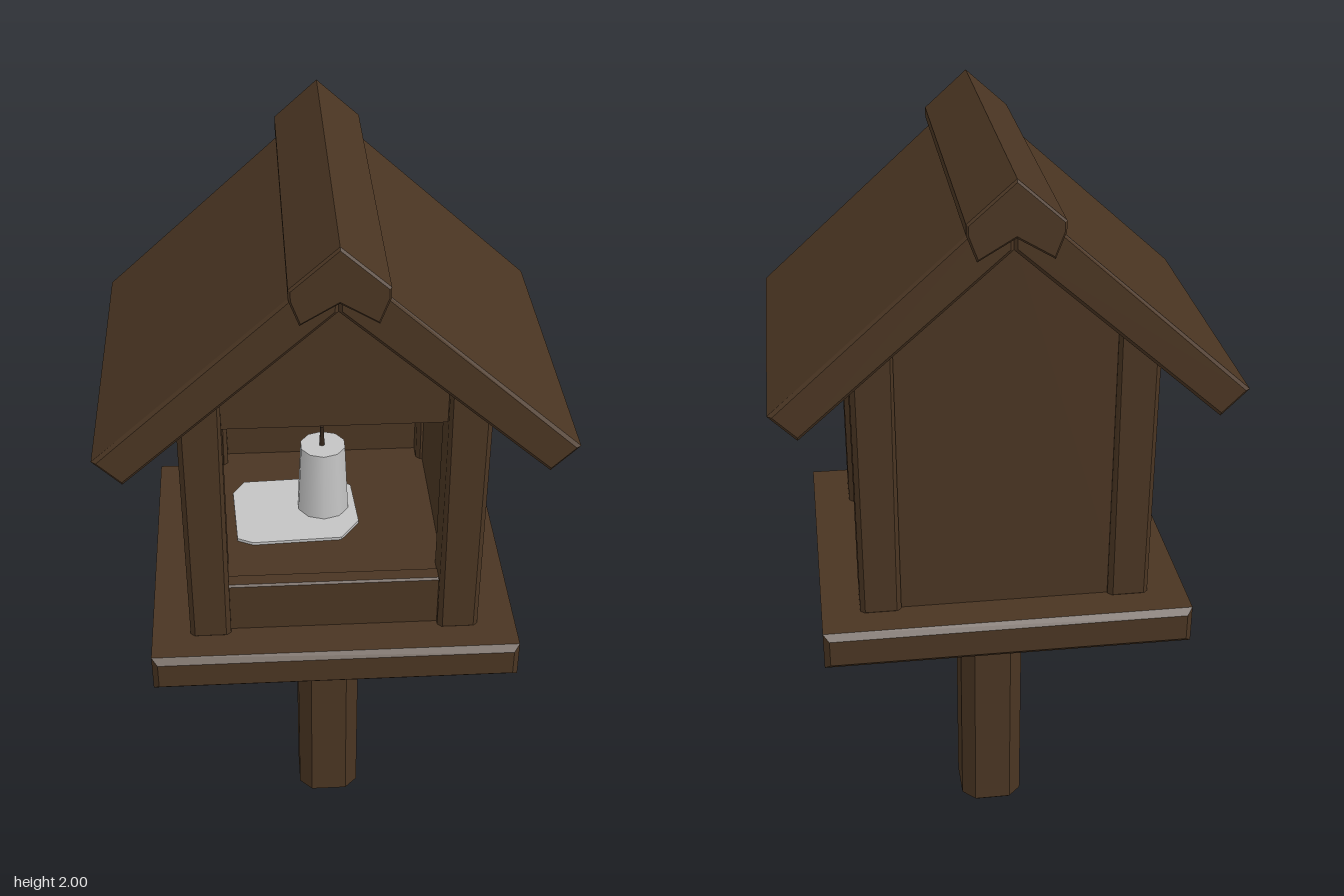
import * as THREE from 'three';

const wood = new THREE.MeshStandardMaterial({ color: 0x4a3522 });
wood.name = 'dark wood';
const wax = new THREE.MeshStandardMaterial({ color: 0xc4c4c4 });
wax.name = 'pale wax';
const char = new THREE.MeshStandardMaterial({ color: 0x33251a });
char.name = 'charred wick';

export function createModel() {
  const group = new THREE.Group();
  group.name = 'birdFeeder';

  const add = (name, geometry, material = wood) => {
    const mesh = new THREE.Mesh(geometry, material);
    mesh.name = name;
    group.add(mesh);
    return mesh;
  };

  // Extrudes an outline drawn in x,y from z0 to z1, with chamfers kept inside it
  const slab = (name, points, z0, z1, chamfer = 0.01, material = wood) => {
    const shape = new THREE.Shape(points.map(([x, y]) => new THREE.Vector2(x, y)));
    const geometry = new THREE.ExtrudeGeometry(shape, {
      depth: z1 - z0 - 2 * chamfer,
      bevelEnabled: chamfer > 0,
      bevelThickness: chamfer,
      bevelSize: chamfer,
      bevelOffset: -chamfer,
      bevelSegments: 1,
    });
    geometry.translate(0, 0, z0 + chamfer);
    return add(name, geometry, material);
  };
  const rect = (x0, y0, x1, y1) => [[x0, y0], [x1, y0], [x1, y1], [x0, y1]];
  const mirror = (points, s) => points.map(([x, y]) => [x * s, y]);

  // Square pole with cut corners, standing upright
  const c = 0.035, w = 0.085, d = 0.09;
  const pole = slab('pole', [
    [-w + c, -d], [w - c, -d], [w, -d + c], [w, d - c],
    [w - c, d], [-w + c, d], [-w, d - c], [-w, -d + c],
  ], 0, 0.8, 0.008);
  pole.geometry.rotateX(-Math.PI / 2);

  // Base tray and raised floor
  slab('platform', rect(-0.463, 0.76, 0.463, 0.86), -0.43, 0.43, 0.015);
  slab('floor', rect(-0.29, 0.85, 0.29, 0.99), -0.29, 0.29, 0);

  // Front sill, front gable and full back wall
  slab('frontSill', rect(-0.28, 0.85, 0.28, 1.0), 0.27, 0.315, 0.005);
  slab('frontGable', [[-0.3, 1.47], [0.3, 1.47], [0.3, 1.6], [0, 1.87], [-0.3, 1.6]], 0.27, 0.315, 0);
  slab('backWall', [[-0.3, 0.85], [0.3, 0.85], [0.3, 1.6], [0, 1.87], [-0.3, 1.6]], -0.32, -0.28, 0);

  for (const s of [-1, 1]) {
    const side = s > 0 ? 'left' : 'right';

    // Corner posts with tops cut to the roof slope
    const post = mirror([[0.263, 0.85], [0.366, 0.85], [0.366, 1.53], [0.263, 1.62]], s);
    slab(side + 'FrontPost', post, 0.225, 0.34, 0.012);
    slab(side + 'BackPost', post, -0.337, -0.225, 0.012);

    // Recessed side wall
    slab(side + 'Wall', mirror([[0.28, 0.85], [0.32, 0.85], [0.32, 1.57], [0.28, 1.61]], s), -0.24, 0.24, 0);

    // Sloping roof board
    slab(side + 'Roof', mirror([[0.555, 1.465], [0.49, 1.4], [0, 1.83], [0, 1.96]], s), -0.43, 0.43, 0.008);
  }

  // Ridge cap overhanging both gables
  slab('ridgeCap', [
    [0, 2], [-0.108, 1.905], [-0.108, 1.88], [-0.085, 1.82],
    [0, 1.87], [0.085, 1.82], [0.108, 1.88], [0.108, 1.905],
  ], -0.465, 0.465, 0.005);

  // Candle with wick, standing on a thin wax sheet
  const sheet = slab('waxPuddle', [
    [-0.24, -0.12], [-0.2, -0.14], [0.03, -0.13], [0.08, -0.06],
    [0.07, 0.1], [0.02, 0.14], [-0.22, 0.13], [-0.25, 0.08],
  ], 0, 0.008, 0, wax);
  sheet.geometry.rotateX(-Math.PI / 2);
  sheet.position.y = 0.99;
  const candle = add('candle', new THREE.CylinderGeometry(0.06, 0.07, 0.2, 10), wax);
  candle.position.set(-0.01, 1.09, -0.02);
  const wick = add('wick', new THREE.CylinderGeometry(0.005, 0.008, 0.06, 6), char);
  wick.position.set(-0.012, 1.215, -0.02);

  return group;
}
